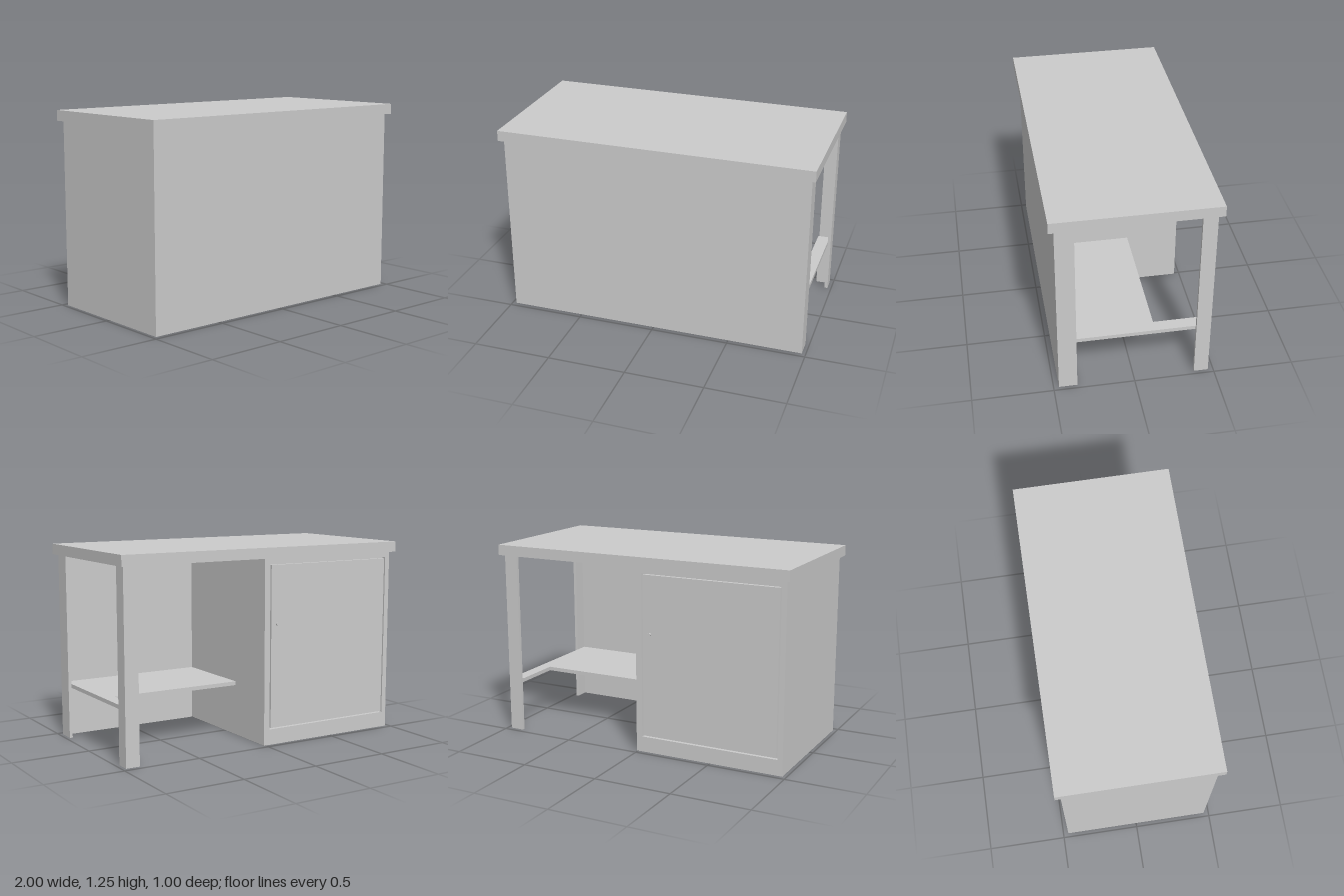
import * as THREE from 'three';

const material = new THREE.MeshStandardMaterial({ color: 0xcccccc, flatShading: true });

function addMesh(group, name, geometry) {
  const mesh = new THREE.Mesh(geometry, material);
  mesh.name = name;
  group.add(mesh);
  return mesh;
}

// Box given by its minimum and maximum corners
function addBox(group, name, [x0, y0, z0], [x1, y1, z1]) {
  const mesh = addMesh(group, name, new THREE.BoxGeometry(x1 - x0, y1 - y0, z1 - z0));
  mesh.position.set((x0 + x1) / 2, (y0 + y1) / 2, (z0 + z1) / 2);
  return mesh;
}

// Plan outline of [x, z] points raised from y0 to y1
function addPrism(group, name, plan, y0, y1) {
  const shape = new THREE.Shape(plan.map(([x, z]) => new THREE.Vector2(x, -z)));
  const geometry = new THREE.ExtrudeGeometry(shape, { depth: y1 - y0, bevelEnabled: false });
  geometry.rotateX(-Math.PI / 2);
  addMesh(group, name, geometry).position.y = y0;
}

// Rectangle as a closed list of points
const rect = (x0, y0, x1, y1) =>
  [[x0, y0], [x1, y0], [x1, y1], [x0, y1]].map(([x, y]) => new THREE.Vector2(x, y));

export function createModel() {
  const group = new THREE.Group();
  const top = 1.183; // underside of the worktop
  const X = 0.975, Z = 0.467; // outer faces of the base
  const sheet = 0.02, panelBack = Z - 0.024;
  const cabinetX = 0.01;

  addBox(group, 'worktop', [-1, top, -0.5], [1, 1.25, 0.5]);

  // Front panel folded back at the open end to form a leg
  addPrism(group, 'frontPanel', [
    [-X, Z], [X, Z], [X, 0.353], [X - sheet, 0.353], [X - sheet, panelBack], [-X, panelBack],
  ], 0, top);

  // Angle-section rear leg
  addPrism(group, 'rearLeg', [
    [X, -Z], [X - 0.09, -Z], [X - 0.09, -Z + sheet], [X - sheet, -Z + sheet],
    [X - sheet, -0.378], [X, -0.378],
  ], 0, top);

  // Shelf with an arm reaching back to the rear leg
  addPrism(group, 'shelf', [
    [cabinetX, panelBack], [X - sheet, panelBack], [X - sheet, -Z + sheet],
    [0.878, -Z + sheet], [0.878, -0.13], [cabinetX, -0.13],
  ], 0.33, 0.355);

  // Cabinet body and the frame around its door
  const cabinet = new THREE.Group();
  cabinet.name = 'cabinet';
  group.add(cabinet);
  const frameDepth = 0.025;
  addBox(cabinet, 'cabinetBody', [-X, 0, -Z + frameDepth], [cabinetX, top, panelBack]);

  const door = { x0: -0.942, x1: -0.03, y0: 0.1, y1: 1.148 };
  const frame = new THREE.Shape(rect(-X, 0, cabinetX, top));
  frame.holes.push(new THREE.Path(rect(door.x0, door.y0, door.x1, door.y1)));
  addMesh(cabinet, 'doorFrame', new THREE.ExtrudeGeometry(frame, { depth: frameDepth, bevelEnabled: false }))
    .position.z = -Z;

  // Flush door with a narrow gap all round
  const gap = 0.009;
  addBox(cabinet, 'door',
    [door.x0 + gap, door.y0 + gap, -Z], [door.x1 - gap, door.y1 - gap, -Z + frameDepth]);

  // Round door knob
  const knob = new THREE.CylinderGeometry(0.011, 0.011, 0.012, 20).rotateX(Math.PI / 2);
  addMesh(cabinet, 'doorKnob', knob).position.set(-0.084, 0.769, -Z - 0.005);

  return group;
}
